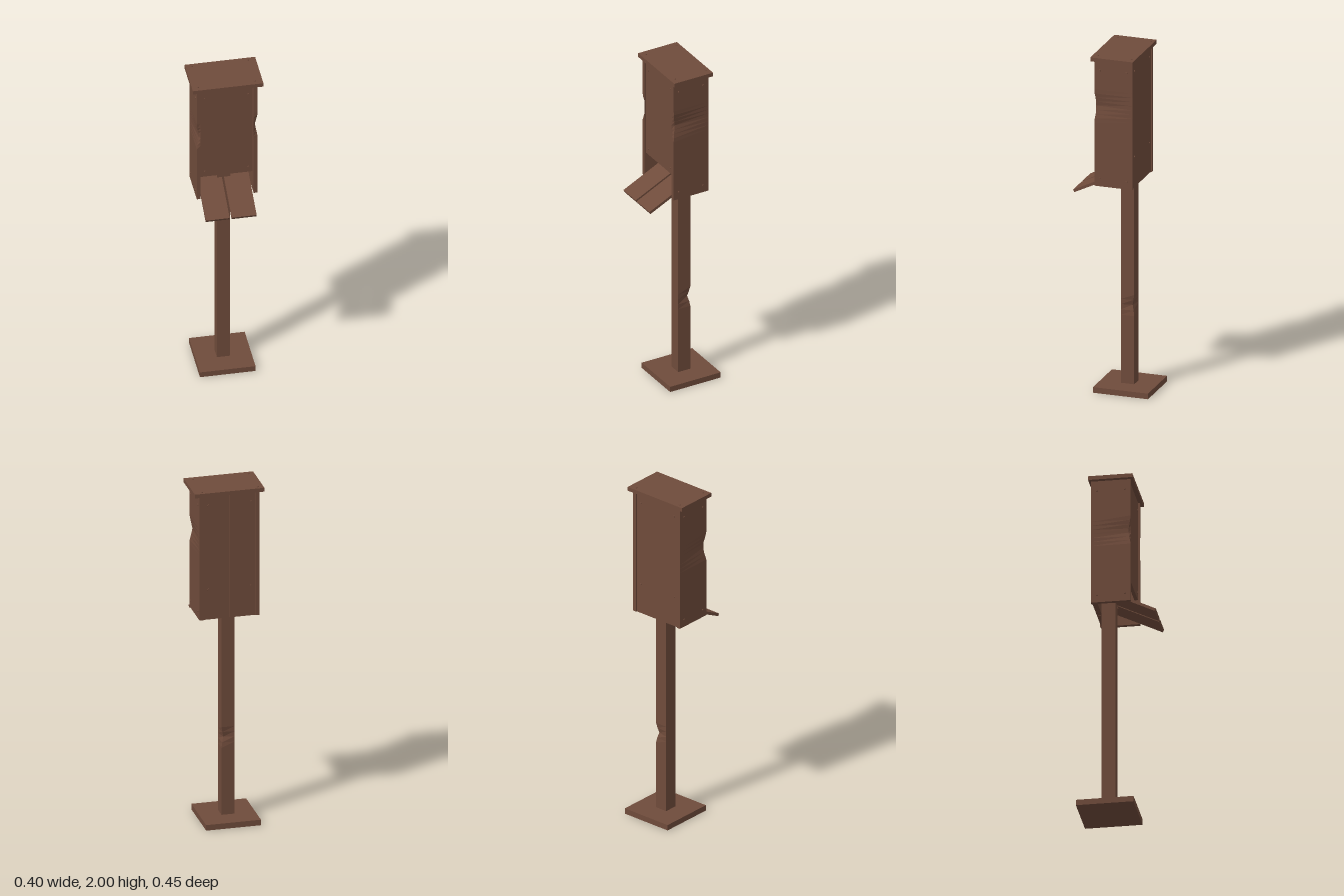
import * as THREE from 'three';

export function createModel() {
  const model = new THREE.Group();
  model.name = 'batHouseOnPost';
  const wood = new THREE.MeshStandardMaterial({ color: 0x6f4b3b });
  wood.name = 'brown wood';

  const add = (name, geometry) => {
    const mesh = new THREE.Mesh(geometry, wood);
    mesh.name = name;
    model.add(mesh);
    return mesh;
  };

  // Board given by its limits on each axis, with optional height rows
  const board = (name, [x0, x1], [y0, y1], [z0, z1], rows = 1) => {
    const g = new THREE.BoxGeometry(x1 - x0, y1 - y0, z1 - z0, 1, rows, 1);
    g.translate((x0 + x1) / 2, (y0 + y1) / 2, (z0 + z1) / 2);
    return add(name, g);
  };

  // Chip one vertical corner: push its vertices inward near a height
  const chip = (mesh, sx, sz, height, reach, depth) => {
    const g = mesh.geometry.toNonIndexed();
    const p = g.attributes.position;
    g.computeBoundingBox();
    const { min, max } = g.boundingBox;
    const cx = sx > 0 ? max.x : min.x;
    const cz = sz > 0 ? max.z : min.z;
    for (let i = 0; i < p.count; i++) {
      if (Math.abs(p.getX(i) - cx) > 1e-4 || Math.abs(p.getZ(i) - cz) > 1e-4) continue;
      const d = depth * Math.max(0, 1 - Math.abs(p.getY(i) - height) / reach);
      p.setX(i, cx - sx * d);
      p.setZ(i, cz - sz * d);
    }
    g.computeVertexNormals();
    mesh.geometry = g;
  };

  // Foot and post
  board('basePlate', [-0.16, 0.155], [0, 0.033], [-0.225, 0.1]);
  const post = board('post', [-0.041, 0.034], [0.03, 1.9], [-0.1, -0.022], 60);
  chip(post, 1, -1, 0.5, 0.05, 0.014);

  // Roof
  board('roof', [-0.2, 0.2], [1.973, 1.996], [-0.15, 0.1]);

  // Side walls with worn outer front corners
  const left = board('leftWall', [0.147, 0.17], [1.23, 1.973], [-0.138, 0.086], 30);
  chip(left, 1, 1, 1.7, 0.08, 0.014);
  const right = board('rightWall', [-0.175, -0.153], [1.23, 1.973], [-0.138, 0.086], 30);
  chip(right, -1, 1, 1.66, 0.08, 0.016);

  // Front panel, and two back boards
  board('frontPanel', [-0.152, 0.141], [1.375, 1.973], [0.056, 0.076]);
  board('backBoardRight', [-0.153, -0.006], [1.23, 1.973], [-0.132, -0.103]);
  board('backBoardLeft', [-0.003, 0.147], [1.23, 1.973], [-0.132, -0.103]);

  // Sloping landing boards, cut away around the post
  const landing = (name, outer, inner, cut) => {
    const pts = [[outer, 0], [inner, 0], [inner, 0.26], [cut, 0.26], [cut, 0.352], [outer, 0.352]];
    const shape = new THREE.Shape(pts.map(([x, u]) => new THREE.Vector2(x, u)));
    const mesh = add(name, new THREE.ExtrudeGeometry(shape, { depth: 0.016, bevelEnabled: false }));
    mesh.rotation.x = THREE.MathUtils.degToRad(-64);
    mesh.position.set(0, 1.165, 0.217);
  };
  landing('landingBoardRight', -0.15, -0.015, -0.042);
  landing('landingBoardLeft', 0.138, -0.003, 0.035);

  // Screw heads, pointing along a given direction
  const screwGeometry = new THREE.CylinderGeometry(0.005, 0.007, 0.008, 8);
  const up = new THREE.Vector3(0, 1, 0);
  const screw = (name, x, y, z, nx, ny, nz) => {
    const mesh = add(name, screwGeometry);
    mesh.position.set(x, y, z);
    mesh.quaternion.setFromUnitVectors(up, new THREE.Vector3(nx, ny, nz));
  };
  for (const x of [-0.165, 0.155])
    for (const z of [-0.128, 0.07]) screw('roofScrew', x, 1.996, z, 0, 1, 0);
  for (const y of [1.915, 1.275])
    for (const z of [-0.103, 0.054]) {
      screw('leftWallScrew', 0.17, y, z, 1, 0, 0);
      screw('rightWallScrew', -0.175, y, z, -1, 0, 0);
    }
  for (const y of [1.915, 1.41])
    for (const x of [-0.128, 0.118]) {
      screw('frontScrew', x, y, 0.076, 0, 0, 1);
      screw('backScrew', x, y, -0.132, 0, 0, -1);
    }

  return model;
}
